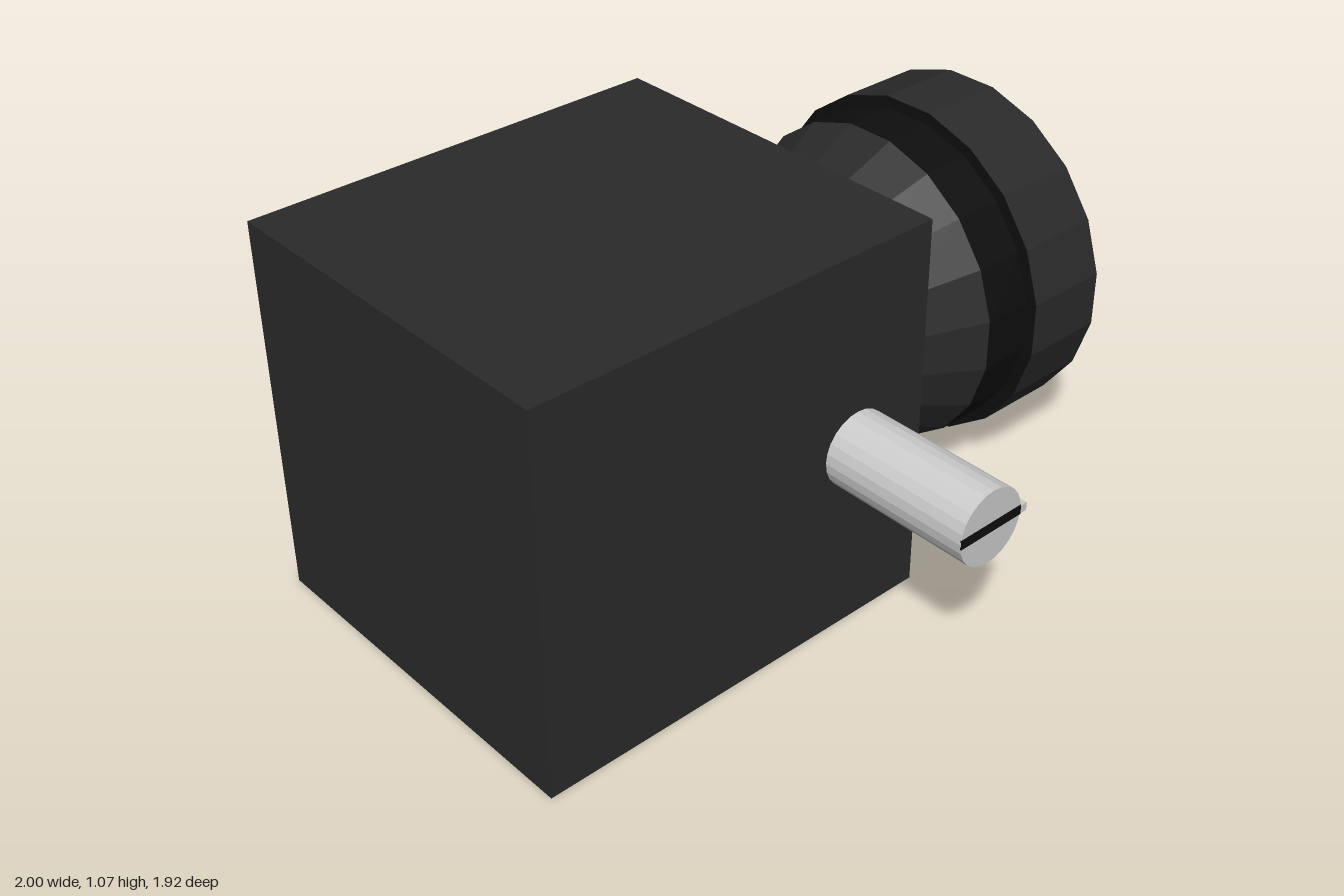
import * as THREE from 'three';

const SIDES = 20;
const AXIS_Y = 0.533, AXIS_Z = -0.005;
const APOTHEM = 1 / Math.cos(Math.PI / SIDES); // radii below are measured on the flats

const mat = (color, flatShading = true) =>
  new THREE.MeshStandardMaterial({ color, flatShading, side: THREE.DoubleSide });

export function createModel() {
  const group = new THREE.Group();
  const charcoal = mat(0x2a2a2a), black = mat(0x0e0e0e);
  const grey = mat(0xcccccc), blue = mat(0x6996f0, false);

  function add(parent, name, geometry, material, x = 0, y = 0, z = 0) {
    const mesh = new THREE.Mesh(geometry, material);
    mesh.name = name;
    mesh.position.set(x, y, z);
    parent.add(mesh);
    return mesh;
  }

  // Hollow housing, open towards the lens
  const shell = new THREE.BoxGeometry(1.19, 1.066, 1.066);
  shell.setIndex(Array.from(shell.index.array).slice(6));
  add(group, 'housing', shell, charcoal, -0.405, AXIS_Y, AXIS_Z);

  // Black front plate with the opening behind the lens
  const plate = new THREE.Shape();
  const h = 0.533;
  plate.moveTo(-h, -h).lineTo(h, -h).lineTo(h, h).lineTo(-h, h).closePath();
  plate.holes.push(new THREE.Path().absarc(0, 0, 0.2, 0, Math.PI * 2, true));
  add(group, 'lensPlate', new THREE.ShapeGeometry(plate), black, 0.19, AXIS_Y, AXIS_Z)
    .rotation.y = Math.PI / 2;

  // Lens barrel: turned sections given as [radius, distance along x]
  const lens = new THREE.Group();
  lens.name = 'lens';
  lens.position.set(0, AXIS_Y, AXIS_Z);
  lens.rotation.z = -Math.PI / 2;
  group.add(lens);
  function turned(name, profile, material) {
    const points = profile.map(([r, x]) => new THREE.Vector2(r * APOTHEM, x));
    add(lens, name, new THREE.LatheGeometry(points, SIDES, Math.PI / SIDES), material);
  }
  turned('neck', [[0.333, 0.19], [0.333, 0.29]], black);
  turned('cone', [[0.333, 0.29], [0.452, 0.535]], charcoal);
  turned('collar', [[0.452, 0.535], [0.452, 0.68]], black);
  turned('rimBack', [[0.452, 0.68], [0.485, 0.68]], black);
  turned('rim', [[0.485, 0.68], [0.485, 0.93], [0.455, 0.93]], charcoal);
  turned('rimBevel', [[0.455, 0.93], [0.435, 0.872]], black);

  // Domed glass with a pinhole in the middle
  const dome = [];
  for (let i = 0; i <= 8; i++) {
    const r = THREE.MathUtils.lerp(0.437, 0.037, i / 8);
    dome.push([r, 1 - 0.665 * r * r]);
  }
  turned('glass', dome, blue);

  // Cross pin through the housing with a slot in each end
  const pin = new THREE.Group();
  pin.name = 'crossPin';
  pin.position.set(-0.036, 0.523, 0);
  group.add(pin);
  add(pin, 'pin', new THREE.CylinderGeometry(0.103, 0.103, 1.914, 24), grey)
    .rotation.x = Math.PI / 2;
  for (const side of [1, -1]) {
    add(pin, 'pinSlot', new THREE.BoxGeometry(0.204, 0.026, 0.004), black, 0, 0, side * 0.957);
  }
  add(pin, 'pinPointer', new THREE.BoxGeometry(0.03, 0.022, 0.02), grey, 0.107, 0, 0.949);

  return group;
}
